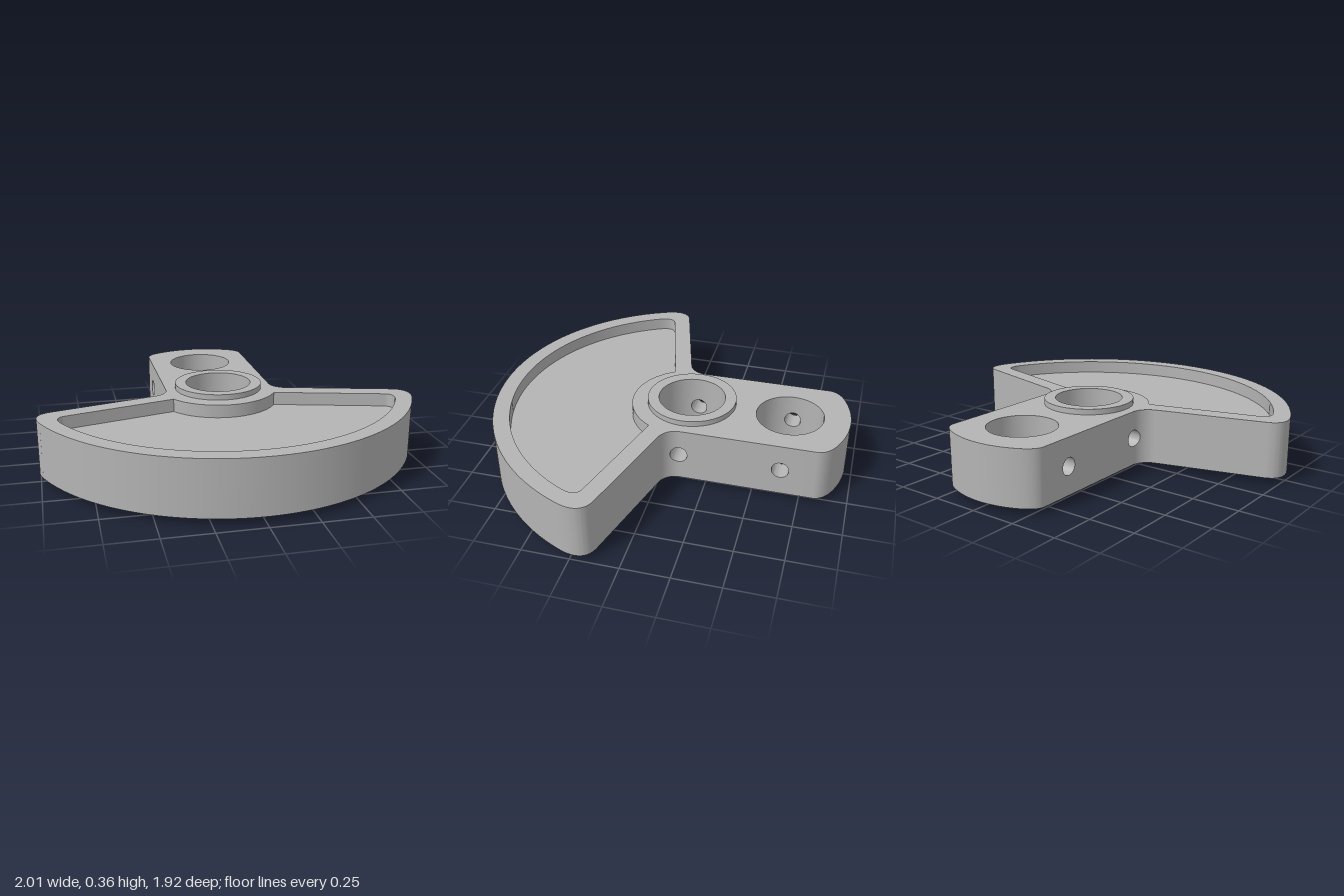
import * as THREE from 'three';
import { toCreasedNormals } from 'three/addons/utils/BufferGeometryUtils.js';

const Y0 = 0.035, Y1 = 0.33, FLOOR = 0.26;         // plate bottom, top, pocket floor
const BORE = 0.18, CROSS = 0.045, HALF = 0.08;      // bore, cross hole, half width of drilled patch
const SHAFT = -0.11, PIN = -0.645;                  // bore centres along z
const PI = Math.PI;

// x of the arm's side at a given z, including the fillet at its root
const sideX = z => z < -0.115 ? 0.295 : 0.395 - Math.sqrt(0.01 - (z + 0.115) ** 2);
const boreX = c => z => Math.sqrt(Math.max(0, BORE ** 2 - (z - c) ** 2));

const range = (n, f) => Array.from({ length: n + 1 }, (_, i) => f(i / n));
const points = draw => {
  const path = new THREE.Path();
  draw(path);
  return path.getPoints(24).map(p => [p.x, p.y]);
};
const edge = (f, z0, z1) => range(12, t => {
  const z = z0 + (z1 - z0) * t;
  return [f(z), z];
});

// collects triangles of the +x half and mirrors each one
function builder() {
  const pos = [];
  const tri = (a, b, c) => {
    pos.push(...a, ...b, ...c);
    for (const [x, y, z] of [a, c, b]) pos.push(-x, y, z);
  };
  const sheet = rows => {
    for (let k = 0; k + 1 < rows.length; k++) {
      for (let j = 0; j + 1 < rows[k].length; j++) {
        const a = rows[k][j], b = rows[k + 1][j], c = rows[k + 1][j + 1], d = rows[k][j + 1];
        tri(a, b, c);
        tri(a, c, d);
      }
    }
  };
  const wall = (pts, y0, y1) => sheet([y0, y1].map(y => pts.map(([x, z]) => [x, y, z])));
  const cap = (pts, y, up) => {
    const contour = pts
      .filter((p, i) => i === 0 || Math.hypot(p[0] - pts[i - 1][0], p[1] - pts[i - 1][1]) > 1e-5)
      .map(p => new THREE.Vector2(...p));
    for (const t of THREE.ShapeUtils.triangulateShape(contour, [])) {
      const [a, b, c] = t.map(i => contour[i]);
      const facesDown = (b.x - a.x) * (c.y - a.y) - (b.y - a.y) * (c.x - a.x) > 0;
      const [p, q, r] = [a, b, c].map(v => [v.x, y, v.y]);
      if (facesDown === up) tri(p, r, q); else tri(p, q, r);
    }
  };
  return { pos, sheet, wall, cap };
}

// rings running from a cross hole out to the rectangle around it
function drilledRings(f, c) {
  const h = (Y1 - Y0) / 2, yc = (Y0 + Y1) / 2;
  const corners = [[HALF, h], [HALF, -h], [-HALF, -h], [-HALF, h], [HALF, h]];
  const rect = [];
  for (let s = 0; s < 4; s++) {
    for (let i = 0; i < 12; i++) {
      rect.push([0, 1].map(k => corners[s][k] + (corners[s + 1][k] - corners[s][k]) * i / 12));
    }
  }
  rect.push(corners[4]);
  return range(6, t => rect.map(([u, v]) => {
    const k = CROSS / Math.hypot(u, v) * (1 - t) + t;
    const z = c + u * k;
    return [f(z), yc + v * k, z];
  }));
}

export function createModel() {
  const model = new THREE.Group();
  model.name = 'crankWeb';
  const steel = new THREE.MeshStandardMaterial({ color: 0xb4b4b4 });
  steel.name = 'grey steel';

  const addMesh = (name, geometry) => {
    const mesh = new THREE.Mesh(toCreasedNormals(geometry, 0.5), steel);
    mesh.name = name;
    model.add(mesh);
    return mesh;
  };
  const part = (name, build) => {
    const b = builder();
    build(b);
    const g = new THREE.BufferGeometry();
    g.setAttribute('position', new THREE.Float32BufferAttribute(b.pos, 3));
    addMesh(name, g);
  };

  // half outline: rounded arm end, arm side, then the counterweight sector
  const armEnd = points(p => {
    p.absarc(0, -0.463, 0.5, -PI / 2, -PI / 2 + 0.433, false);
    p.quadraticCurveTo(0.295, -0.878, 0.295, -0.82);
    p.lineTo(0.295, PIN - HALF);
  });
  const armMiddle = [[0.295, PIN + HALF], [0.295, SHAFT - HALF]];
  const armRoot = edge(sideX, SHAFT - HALF, SHAFT + HALF);
  const sector = points(p => {
    p.absarc(0.395, -0.115, 0.1, PI - Math.asin(0.85), PI * 105 / 180, true);
    p.lineTo(0.93, 0.132);
    p.quadraticCurveTo(1.04, 0.162, 0.988, 0.296);
    p.absarc(0, SHAFT, 1.068, Math.atan2(0.406, 0.988), PI / 2, false);
  });
  const outline = [...armEnd, ...armMiddle, ...armRoot, ...sector];

  // half pocket, from its edge near the shaft round to the front rim
  const pocket = points(p => {
    p.absarc(0, SHAFT, 0.325, PI / 2, Math.atan2(0.167, 0.28), true);
    p.lineTo(0.86, 0.211);
    p.quadraticCurveTo(0.922, 0.227, 0.885, 0.311);
    p.absarc(0, SHAFT, 0.98, Math.atan2(0.421, 0.885), PI / 2, false);
  });
  const pocketBack = [...pocket].reverse();

  // half bores, walked from front to back
  const cut = Math.acos(HALF / BORE);
  const arc = (c, a0, a1) => range(14, t => {
    const a = a0 + (a1 - a0) * t;
    return [BORE * Math.sin(a), c + BORE * Math.cos(a)];
  });
  const bores = [SHAFT, PIN].map(c => ({
    c,
    front: arc(c, 0, cut),
    middle: edge(boreX(c), c + HALF, c - HALF),
    back: arc(c, PI - cut, PI),
  }));
  const boreLine = bores.flatMap(b => [...b.front, ...b.middle, ...b.back]);

  part('plateTop', b => b.cap([...outline, ...pocketBack, ...boreLine], Y1, true));
  part('plateBottom', b => b.cap([...outline, ...boreLine], Y0, false));
  part('outerWall', b => {
    for (const pts of [armEnd, armMiddle, sector]) b.wall(pts, Y0, Y1);
    for (const { c } of bores) b.sheet(drilledRings(sideX, c));
  });
  part('pocketWall', b => b.wall(pocketBack, FLOOR, Y1));
  part('pocketFloor', b => b.cap(pocket, FLOOR, true));
  part('boreWalls', b => {
    for (const { c, front, back } of bores) {
      b.wall(front, Y0, Y1);
      b.wall(back, Y0, Y1);
      b.sheet(drilledRings(boreX(c), c).reverse());
    }
  });
  part('crossHoles', b => {
    for (const { c } of bores) b.sheet([drilledRings(boreX(c), c)[0], drilledRings(sideX, c)[0]]);
  });

  // raised collars: shaft collar on top, pin collar underneath
  const collar = (name, profile, z) => {
    const g = new THREE.LatheGeometry(profile.map(p => new THREE.Vector2(...p)), 72);
    addMesh(name, g).position.z = z;
  };
  collar('shaftCollar', [[0.24, Y1], [0.24, 0.36], [BORE, 0.36], [BORE, Y1]], SHAFT);
  collar('pinCollar', [[BORE, Y0], [BORE, 0], [0.24, 0], [0.24, Y0]], PIN);

  return model;
}
